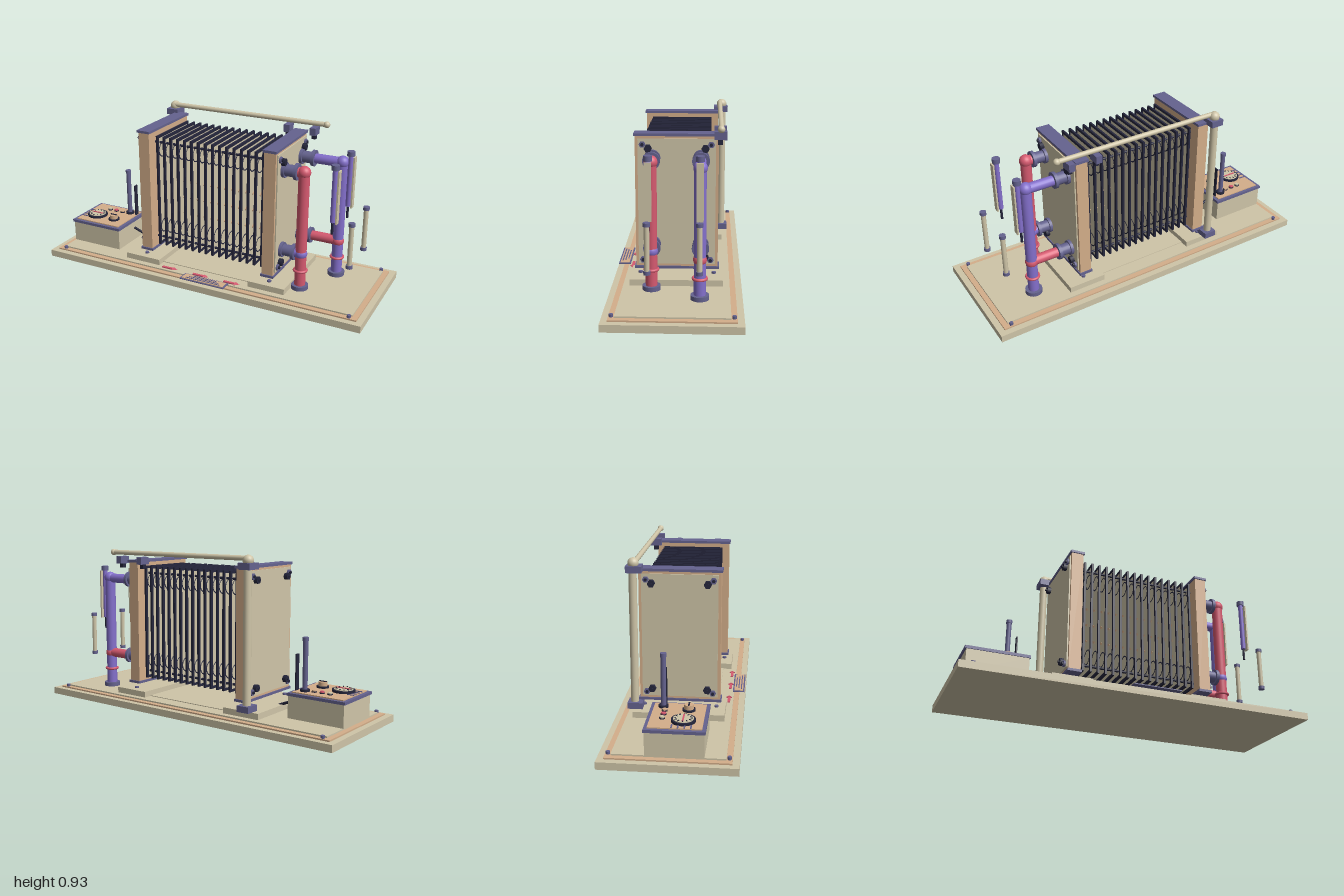
import * as THREE from 'three';

const mat = (name, color) => {
  const m = new THREE.MeshStandardMaterial({ color });
  m.name = name;
  return m;
};

export function createModel() {
  const root = new THREE.Group();
  const cream = mat('cream', 0xcfc5a8), tan = mat('tan', 0xd4ae8a), slate = mat('slate blue', 0x65638f);
  const red = mat('red', 0xd65a70), purple = mat('purple', 0x8470cc), dark = mat('dark navy', 0x25263c);

  const add = (name, geo, m, x, y, z, parent = root) => {
    const mesh = new THREE.Mesh(geo, m);
    mesh.name = name;
    mesh.position.set(x, y, z);
    parent.add(mesh);
    return mesh;
  };
  // box given by its extents
  const box = (name, m, x0, x1, y0, y1, z0, z1, parent) =>
    add(name, new THREE.BoxGeometry(x1 - x0, y1 - y0, z1 - z0), m, (x0 + x1) / 2, (y0 + y1) / 2, (z0 + z1) / 2, parent);
  // upright cylinder between two heights
  const post = (name, m, r, x, y0, y1, z, n = 20, parent) =>
    add(name, new THREE.CylinderGeometry(r, r, y1 - y0, n), m, x, (y0 + y1) / 2, z, parent);
  // cylinder along x
  const bar = (name, m, r, x0, x1, y, z, n = 20, parent) =>
    add(name, new THREE.CylinderGeometry(r, r, x1 - x0, n).rotateZ(Math.PI / 2), m, (x0 + x1) / 2, y, z, parent);
  const ball = (name, m, r, x, y, z) => add(name, new THREE.SphereGeometry(r, 20, 14), m, x, y, z);
  const ring = (name, m, R, r, x, y, z) => add(name, new THREE.TorusGeometry(R, r, 8, 24).rotateX(Math.PI / 2), m, x, y, z);

  // stepped base
  box('base', cream, -1, 1, 0, 0.04, -0.35, 0.35);
  box('baseTrim', tan, -0.965, 0.965, 0.04, 0.048, -0.315, 0.315);
  box('baseDeck', cream, -0.935, 0.935, 0.048, 0.056, -0.285, 0.285);
  for (const x of [-0.92, 0.92]) for (const z of [-0.3, 0.3]) post('cornerBolt', slate, 0.011, x, 0.048, 0.063, z, 6);

  // feet and drip tray
  box('dripTray', cream, -0.27, 0.31, 0.056, 0.06, -0.2, 0.2);
  for (const [a, b] of [[-0.5, -0.27], [0.31, 0.53]]) {
    box('foot', cream, a, b, 0.056, 0.09, -0.25, 0.25);
    for (const z of [-0.2, 0.2]) post('footBolt', slate, 0.012, (a + b) / 2, 0.09, 0.1, z, 6);
  }

  // end plates with caps and outer panels
  for (const [a, b, s] of [[-0.402, -0.333, -1], [0.38, 0.448, 1]]) {
    box('endPlate', tan, a, b, 0.14, 0.853, -0.22, 0.22);
    for (const y of [0.127, 0.853]) box('endCap', slate, a - 0.006, b + 0.006, y, y + 0.014, -0.227, 0.227);
    const f = s > 0 ? b : a;
    box('endPanel', cream, Math.min(f, f + s * 0.007), Math.max(f, f + s * 0.007), 0.155, 0.84, -0.205, 0.205);
    // nuts on the tie rods
    for (const k of [-1, 1]) for (const up of [-1, 1]) {
      const y = 0.495 + up * 0.315, z = k * 0.18;
      const nut = (n, m, r, d0, d1, yy, zz) => bar(n, m, r, Math.min(f + s * d0, f + s * d1), Math.max(f + s * d0, f + s * d1), yy, zz, 6);
      nut('washerNut', slate, 0.018, 0, 0.018, y, z);
      nut('boltEnd', dark, 0.009, 0.018, 0.026, y, z);
      nut('rodNut', dark, 0.021, 0, 0.03, 0.495 + up * 0.295, k * 0.15);
    }
  }
  for (const y of [0.79, 0.2]) for (const z of [-0.15, 0.15]) bar('tieRod', dark, 0.007, -0.44, 0.475, y, z, 10);

  // plate pack: gasket frame, sheet, port rings and chevron ribs
  const frame = new THREE.Shape([[-0.18, -0.337], [0.18, -0.337], [0.18, 0.337], [-0.18, 0.337]].map(p => new THREE.Vector2(...p)));
  frame.holes.push(new THREE.Path([[-0.165, -0.322], [-0.165, 0.322], [0.165, 0.322], [0.165, -0.322]].map(p => new THREE.Vector2(...p))));
  const frameGeo = new THREE.ExtrudeGeometry(frame, { depth: 0.012, bevelEnabled: false }).translate(0, 0, -0.006).rotateY(Math.PI / 2);
  const portGeo = new THREE.TorusGeometry(0.042, 0.005, 6, 20).rotateY(Math.PI / 2);
  for (let i = 0; i < 16; i++) {
    const plate = new THREE.Group();
    plate.name = 'exchangerPlate';
    plate.position.set(-0.305 + i * 0.0442, 0.496, 0);
    add('gasket', frameGeo, dark, 0, 0, 0, plate);
    box('sheet', cream, -0.003, 0.003, -0.325, 0.325, -0.17, 0.17, plate);
    for (const y of [-0.23, 0.245]) for (const z of [-0.12, 0.12]) add('portRing', portGeo, dark, 0, y, z, plate);
    for (const y of [-0.1, 0, 0.1]) for (const s of [-1, 1]) {
      const rib = box('chevronRib', tan, -0.006, 0.006, y - 0.006, y + 0.006, -0.07, 0.07, plate);
      rib.position.z = s * 0.06;
      rib.rotation.x = s * 0.5;
    }
    root.add(plate);
  }

  // rear column and carrying bar
  box('columnBase', slate, -0.46, -0.385, 0.09, 0.125, -0.283, -0.2);
  post('column', cream, 0.022, -0.425, 0.125, 0.9, -0.246);
  box('columnHead', slate, -0.46, -0.385, 0.852, 0.888, -0.28, -0.195);
  ball('barElbow', cream, 0.03, -0.425, 0.9, -0.242);
  bar('carryingBar', cream, 0.014, -0.425, 0.56, 0.91, -0.23);
  ball('barEnd', cream, 0.019, 0.562, 0.91, -0.23);
  for (const x of [0.333, 0.492]) {
    box('hangerClamp', slate, x - 0.018, x + 0.018, 0.845, 0.888, -0.262, -0.195);
    box('hangerHook', dark, x - 0.012, x + 0.012, 0.82, 0.845, -0.24, -0.213);
  }

  // pipework: one riser per side with upper and lower nozzles
  const riser = (x, z, main, branch) => {
    const lines = [[0.74, main], [0.27, branch]];
    for (const [y, m] of lines) {
      bar('nozzle', slate, 0.033, 0.448, 0.54, y, z);
      bar('nozzleFlange', slate, 0.043, 0.455, 0.472, y, z);
      bar('nozzleCollar', slate, 0.046, 0.525, 0.543, y, z);
      bar('branchPipe', m, 0.028, 0.54, x, y, z);
    }
    post('riserPipe', main, 0.031, x, 0.06, 0.74, z, 24);
    ball('riserElbow', main, 0.036, x, 0.742, z);
    ball('branchElbow', branch, 0.035, x, 0.268, z);
    ring('riserBand', red, 0.034, 0.008, x, 0.168, z);
    post('riserBase', slate, 0.048, x, 0.056, 0.08, z, 24);
  };
  riser(0.575, 0.128, red, purple);
  riser(0.7, -0.128, purple, red);

  // gauges beside the risers
  for (const z of [-0.128, 0.128]) {
    post('gaugeBody', purple, 0.014, 0.745, 0.49, 0.79, z);
    post('gaugeCap', slate, 0.022, 0.745, 0.785, 0.812, z);
    post('gaugeStem', dark, 0.007, 0.745, 0.42, 0.5, z, 10);
    box('gaugeFace', cream, 0.764, 0.773, 0.485, 0.782, z - 0.018, z + 0.018);
    post('sightTube', cream, 0.0135, 0.852, 0.25, 0.495, z);
    for (const y of [0.242, 0.487]) post('sightCap', slate, 0.018, 0.852, y, y + 0.019, z);
  }

  // control box
  box('controlBox', cream, -0.937, -0.603, 0.056, 0.18, -0.118, 0.178);
  box('controlLid', slate, -0.945, -0.598, 0.18, 0.196, -0.123, 0.183);
  box('controlPanel', tan, -0.925, -0.618, 0.196, 0.202, -0.105, 0.165);
  post('dialRim', dark, 0.062, -0.837, 0.202, 0.215, 0.065, 28);
  post('dialFace', cream, 0.052, -0.837, 0.215, 0.219, 0.065, 28);
  box('dialNeedle', red, -0.877, -0.797, 0.219, 0.223, 0.061, 0.069);
  for (let i = 0; i < 12; i++) {
    const a = i * Math.PI / 6;
    const tick = box('dialTick', dark, -0.006, 0.006, 0.219, 0.222, -0.002, 0.002);
    tick.position.set(-0.837 + 0.042 * Math.cos(a), 0.2205, 0.065 + 0.042 * Math.sin(a));
    tick.rotation.y = -a;
  }
  for (let i = 0; i < 4; i++) box('panelStripe', slate, -0.925, -0.885, 0.202, 0.206, 0.01 + i * 0.032, 0.017 + i * 0.032);
  post('knobBase', dark, 0.034, -0.703, 0.202, 0.212, 0.08, 24);
  post('knob', tan, 0.025, -0.703, 0.212, 0.235, 0.08, 24);
  box('knobMark', dark, -0.725, -0.681, 0.235, 0.239, 0.076, 0.084);
  [cream, red, tan].forEach((m, i) => {
    post('buttonRing', dark, 0.015, -0.815 + i * 0.047, 0.202, 0.207, -0.043, 16);
    post('button', m, 0.012, -0.815 + i * 0.047, 0.207, 0.214, -0.043, 16);
  });
  post('mastBase', dark, 0.026, -0.67, 0.202, 0.214, -0.055);
  post('mast', slate, 0.014, -0.67, 0.214, 0.48, -0.055);
  post('mastCap', slate, 0.017, -0.67, 0.475, 0.495, -0.055);
  box('mastScale', dark, -0.624, -0.617, 0.202, 0.4, -0.07, -0.042);

  // cable to the stack
  const path = new THREE.CatmullRomCurve3([[-0.603, 0.135, 0], [-0.55, 0.115, 0], [-0.475, 0.085, 0]].map(p => new THREE.Vector3(...p)));
  add('cable', new THREE.TubeGeometry(path, 10, 0.008, 10), dark, 0, 0, 0);

  // front marker plate and flow arrows
  box('markerPlate', slate, -0.077, 0.203, 0.057, 0.062, 0.277, 0.345);
  box('markerFace', tan, -0.068, 0.194, 0.062, 0.065, 0.285, 0.337);
  [[-0.01, 0.135], [-0.03, 0.155], [-0.045, 0.17]].forEach(([a, b], i) =>
    box('markerLine', slate, a, b, 0.065, 0.067, 0.293 + i * 0.015, 0.299 + i * 0.015));
  for (const x of [-0.24, -0.035, 0.165]) {
    box('arrowShaft', red, x, x + 0.075, 0.056, 0.063, 0.253, 0.268);
    add('arrowHead', new THREE.ConeGeometry(0.018, 0.03, 12).rotateZ(-Math.PI / 2).scale(1, 0.3, 1), red, x + 0.085, 0.06, 0.26);
  }
  return root;
}
